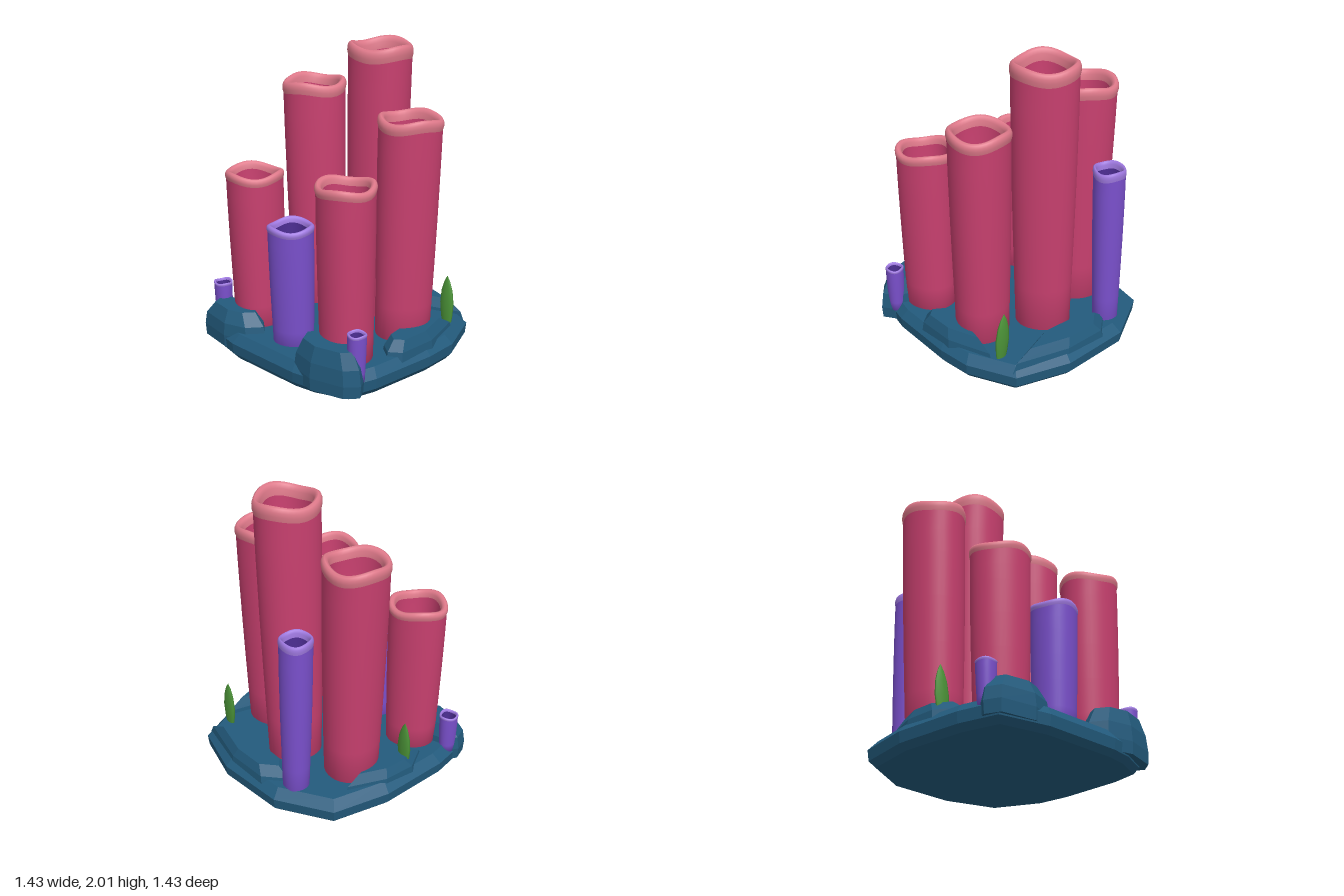
import * as THREE from 'three';

const mat = (name, color) => Object.assign(new THREE.MeshStandardMaterial({ color }), { name });

// Skins a list of closed rings, each an array of [x, y, z], with optional end caps
function skin(rings, { capStart = false, capEnd = false, flat = false } = {}) {
  const n = rings[0].length, pos = rings.flat(2), idx = [];
  rings.slice(1).forEach((_, k) => {
    for (let i = 0; i < n; i++) {
      const j = (i + 1) % n, a = k * n + i, b = k * n + j;
      idx.push(a, a + n, b, b, a + n, b + n);
    }
  });
  const cap = (k, up) => {
    const c = pos.length / 3, mid = [0, 1, 2].map(d => rings[k].reduce((s, p) => s + p[d], 0) / n);
    pos.push(...mid);
    for (let i = 0; i < n; i++) {
      const a = k * n + i, b = k * n + (i + 1) % n;
      idx.push(c, up ? b : a, up ? a : b);
    }
  };
  if (capStart) cap(0, false);
  if (capEnd) cap(rings.length - 1, true);
  let g = new THREE.BufferGeometry();
  g.setAttribute('position', new THREE.Float32BufferAttribute(pos, 3));
  g.setIndex(idx);
  if (flat) g = g.toNonIndexed();
  g.computeVertexNormals();
  return g;
}

// Faceted stone: a ground outline [x, z] stacked at levels [y, scale]
function stone(outline, levels) {
  const mean = d => outline.reduce((s, p) => s + p[d], 0) / outline.length;
  const cx = mean(0), cz = mean(1);
  const rings = levels.map(([y, s]) => outline.map(([x, z]) => [cx + (x - cx) * s, y, cz + (z - cz) * s]));
  return skin(rings, { capStart: true, capEnd: true, flat: true });
}

export function createModel() {
  const root = new THREE.Group();
  root.name = 'tubeSpongeReef';

  const rock = mat('reef blue', 0x235b7d);
  const pink = { body: mat('sponge pink', 0xc8406f), rim: mat('rim pink', 0xe07a8b) };
  pink.inner = pink.body;
  const purple = { body: mat('sponge purple', 0x7a50cc), rim: mat('rim purple', 0xa07ae2), inner: mat('hollow purple', 0x4c2d92) };
  const green = mat('sprout green', 0x4c9438);

  const add = (parent, name, geo, m) => {
    const mesh = new THREE.Mesh(geo, m);
    mesh.name = name;
    parent.add(mesh);
    return mesh;
  };

  // Base slab
  add(root, 'baseSlab', stone([
    [-0.28, -0.7], [0.2, -0.715], [0.56, -0.6], [0.7, -0.285], [0.715, -0.05], [0.68, 0.41], [0.63, 0.6],
    [0.41, 0.69], [0.25, 0.715], [-0.32, 0.715], [-0.66, 0.64], [-0.715, 0.37], [-0.72, -0.11], [-0.63, -0.5],
  ], [[0, 0.94], [0.04, 0.99], [0.11, 1], [0.17, 0.93]]), rock);

  // Boulders on the slab: outline, height, top scale
  const boulders = {
    frontRightBoulder: [[[-0.66, 0.48], [-0.45, 0.42], [-0.27, 0.47], [-0.18, 0.55], [-0.26, 0.65], [-0.42, 0.7], [-0.66, 0.66], [-0.7, 0.56]], 0.295, 0.66],
    frontLeftBoulder: [[[0.17, 0.57], [0.23, 0.46], [0.55, 0.45], [0.66, 0.5], [0.71, 0.58], [0.64, 0.66], [0.41, 0.72], [0.23, 0.68]], 0.335, 0.74],
    backBoulder: [[[-0.27, -0.56], [-0.13, -0.68], [0.18, -0.68], [0.56, -0.57], [0.27, -0.465], [-0.19, -0.485]], 0.25, 0.7],
    leftBoulder: [[[0.59, -0.41], [0.69, -0.1], [0.68, 0.18], [0.6, 0.24], [0.51, 0.18], [0.48, 0.02]], 0.265, 0.68],
    rightBoulder: [[[-0.69, 0.14], [-0.68, -0.09], [-0.57, -0.35], [-0.5, -0.12], [-0.48, 0.04], [-0.59, 0.31]], 0.25, 0.66],
  };
  for (const [name, [outline, h, top]] of Object.entries(boulders)) {
    add(root, name, stone(outline, [[0.05, 0.97], [0.13, 1], [0.13 + (h - 0.13) * 0.5, 0.94], [h, top]]), rock);
  }

  // Hollow tube leaning from foot [x, z, radius] to mouth [x, z, radius]
  function tube(name, colours, y0, foot, mouth, height, phase) {
    const group = new THREE.Group();
    group.name = name;
    root.add(group);
    const rimH = 0.045 * height, depth = Math.min(0.28, height * 0.3), SEG = 40;
    const ring = (y, scale) => {
      const t = (y - y0) / (height - y0), e = Math.sin(Math.min(t, 1) * Math.PI / 2);
      const cx = THREE.MathUtils.lerp(foot[0], mouth[0], t);
      const cz = THREE.MathUtils.lerp(foot[1], mouth[1], t);
      const r = THREE.MathUtils.lerp(foot[2], mouth[2], e) * scale;
      const wave = 0.06 * mouth[2] * THREE.MathUtils.smoothstep(t, 0.8, 1);
      return Array.from({ length: SEG }, (_, i) => {
        const a = i / SEG * Math.PI * 2;
        const rr = r * (1 + 0.025 * Math.sin(3 * a + phase) + 0.012 * Math.sin(2 * a - phase));
        return [cx + Math.cos(a) * rr, y + wave * (Math.sin(3 * a + phase * 2) - 0.6), cz + Math.sin(a) * rr];
      });
    };
    const lip = height - rimH;
    const body = [0, 0.2, 0.4, 0.6, 0.8, 0.9, 1].map(t => ring(y0 + (lip - y0) * t, 0.97));
    const rim = [[0.97, 1], [1, 0.65], [1, 0.35], [0.965, 0.1], [0.9, 0], [0.82, 0.1], [0.77, 0.4], [0.755, 0.9]]
      .map(([s, d]) => ring(height - rimH * d, s));
    const inner = [[0.755, 0], [0.74, 0.35], [0.7, 0.75], [0.6, 0.93], [0.35, 1]]
      .map(([s, d]) => ring(height - rimH * 0.9 - depth * d, s));
    add(group, 'tubeWall', skin(body, { capStart: true }), colours.body);
    add(group, 'tubeRim', skin(rim), colours.rim);
    add(group, 'tubeHollow', skin(inner, { capEnd: true }), colours.inner);
  }

  tube('tallBackTube', pink, 0.1, [0.02, -0.27, 0.18], [0.04, -0.29, 0.213], 2, 0.6);
  tube('backRightTube', pink, 0.1, [-0.4, -0.15, 0.178], [-0.44, -0.16, 0.21], 1.71, 2.1);
  tube('backLeftTube', pink, 0.1, [0.41, -0.11, 0.178], [0.435, -0.13, 0.203], 1.625, 3.4);
  tube('frontRightTube', pink, 0.1, [-0.4, 0.4, 0.165], [-0.415, 0.41, 0.19], 1.21, 4.6);
  tube('frontLeftTube', pink, 0.1, [0.41, 0.4, 0.17], [0.415, 0.41, 0.19], 1.31, 5.5);
  tube('frontPurpleTube', purple, 0.1, [0, 0.46, 0.132], [0, 0.475, 0.15], 0.96, 1.2);
  tube('backPurpleTube', purple, 0.1, [-0.3, -0.53, 0.085], [-0.305, -0.518, 0.107], 1.255, 2.8);
  tube('smallRightTube', purple, 0.12, [-0.63, 0.515, 0.052], [-0.635, 0.515, 0.063], 0.4, 0.3);
  tube('smallLeftTube', purple, 0.12, [0.62, 0.53, 0.052], [0.625, 0.53, 0.061], 0.44, 4);

  // Flattened pointed sprouts: x, z, height, lean about z
  const blade = [[0.032, 0], [0.046, 0.2], [0.054, 0.45], [0.044, 0.7], [0.024, 0.88], [0, 1]];
  [[0.165, 0.17, 0.3, -0.06], [0.53, -0.425, 0.35, 0.04], [-0.6, 0.135, 0.36, 0.05]].forEach(([x, z, h, lean], i) => {
    const geo = new THREE.LatheGeometry(blade.map(([r, t]) => new THREE.Vector2(r, t * h)), 10);
    const leaf = add(root, 'sprout' + (i + 1), geo, green);
    leaf.scale.z = 0.42;
    leaf.position.set(x, 0.14, z);
    leaf.rotation.set(-0.04, 0, lean);
  });

  return root;
}
